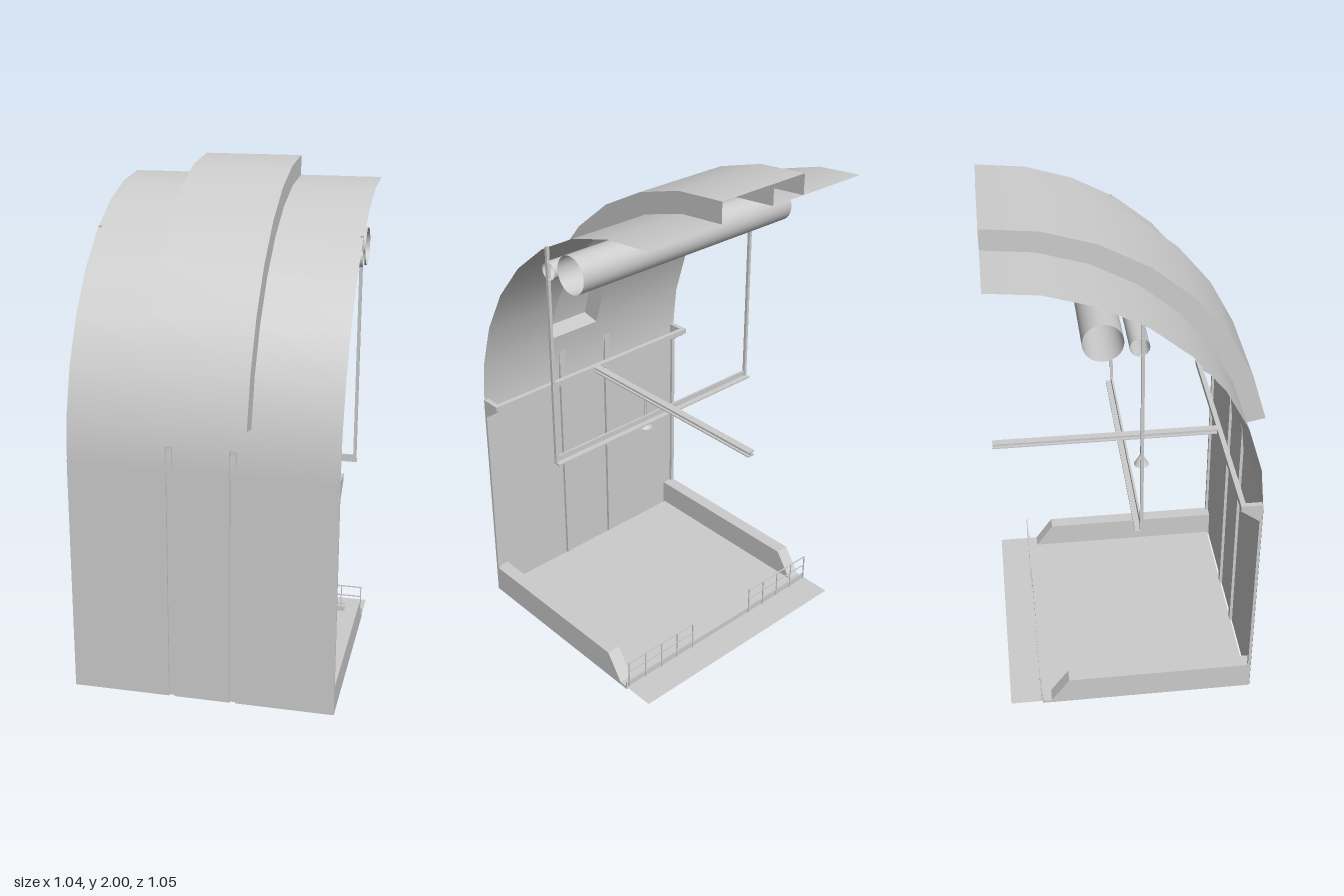
import * as THREE from 'three';

const HALF = 0.52;            // half width of the section
const CY = 0.93, CZ = -0.52;  // axis of the vaulted shell
const R_IN = 0.99, R_OUT = 1.07;
const STEP = Math.PI / 16;    // one facet of the vault

export function createModel() {
  const model = new THREE.Group();
  model.name = 'tunnelSection';
  const grey = new THREE.MeshStandardMaterial({ color: 0xcccccc, side: THREE.DoubleSide });
  grey.name = 'lightGrey';

  const add = (name, geometry) => {
    const mesh = new THREE.Mesh(geometry, grey);
    mesh.name = name;
    model.add(mesh);
    return mesh;
  };
  // Box given by its limits on each axis
  const box = (name, x0, x1, y0, y1, z0, z1) =>
    add(name, new THREE.BoxGeometry(x1 - x0, y1 - y0, z1 - z0))
      .position.set((x0 + x1) / 2, (y0 + y1) / 2, (z0 + z1) / 2);
  // Curved sheet of the vault between two x limits
  const sheet = (name, x0, x1, r, first, count) => {
    const g = new THREE.CylinderGeometry(r, r, x1 - x0, count, 1, true, first * STEP, count * STEP);
    g.rotateZ(Math.PI / 2);
    add(name, g).position.set((x0 + x1) / 2, CY, CZ);
  };
  // Curved side wall of the raised band
  const web = (name, x) => {
    const g = new THREE.RingGeometry(R_IN, R_OUT, 7, 1, STEP, 7 * STEP);
    g.rotateY(-Math.PI / 2);
    add(name, g).position.set(x, CY, CZ);
  };
  // Profile in (z, y) extruded along x
  const profile = (name, points, x0, x1) => {
    const shape = new THREE.Shape(points.map(([z, y]) => new THREE.Vector2(-z, y)));
    const g = new THREE.ExtrudeGeometry(shape, { depth: x1 - x0, bevelEnabled: false });
    g.rotateY(Math.PI / 2);
    add(name, g).position.x = x0;
  };
  // Open pipe across the width
  const pipe = (name, r, y, z, segments) => {
    const g = new THREE.CylinderGeometry(r, r, HALF * 2, segments, 2, true);
    g.rotateZ(Math.PI / 2);
    add(name, g).position.set(0, y, z);
  };

  // Front wall, left open at the two rail slots
  for (const [x0, x1] of [[-HALF, -0.135], [-0.11, 0.11], [0.135, HALF]]) {
    add('frontWall', new THREE.PlaneGeometry(x1 - x0, CY)).position.set((x0 + x1) / 2, CY / 2, 0.47);
  }

  // Vaulted shell with an open duct channel
  const bandL = -0.215, ductL = -0.06, bandR = 0.187;
  sheet('shellBase', -HALF, HALF, R_IN, 0, 1);
  sheet('shellRight', -HALF, ductL, R_IN, 1, 7);
  sheet('shellLeft', bandR, HALF, R_IN, 1, 7);

  // Raised band over the vault
  sheet('raisedBand', bandL, bandR, R_OUT, 1, 7);
  [bandL, ductL, bandR].forEach((x) => web('bandSide', x));
  const cap = add('ductEndCap', new THREE.PlaneGeometry(bandR - ductL, R_OUT - R_IN));
  const rMid = (R_IN + R_OUT) / 2;
  cap.position.set((ductL + bandR) / 2, CY + rMid * Math.sin(STEP), CZ + rMid * Math.cos(STEP));
  cap.rotation.x = Math.PI / 2 - STEP;

  // Recessed guide rails and edge posts, mirrored
  for (const s of [-1, 1]) {
    const c = s * 0.1225;
    box('railBack', c - 0.0125, c + 0.0125, 0, 1.04, 0.458, 0.461);
    for (const e of [-1, 1]) {
      const x = c + e * 0.0125;
      box('railFlange', x - 0.0015, x + 0.0015, 0, 1.04, 0.458, 0.47);
    }
    const p = s * (HALF - 0.008);
    box('edgePost', p - 0.008, p + 0.008, 0.1, CY, 0.458, 0.469);
  }

  // Floor, rear ledge and side curbs
  box('floor', -HALF, HALF, 0, 0.012, -0.39, 0.461);
  box('floorLip', -HALF, HALF, 0.01, 0.035, -0.392, -0.386);
  const ledge = add('rearLedge', new THREE.PlaneGeometry(HALF * 2, 0.13));
  ledge.rotation.x = -Math.PI / 2;
  ledge.position.set(0, 0.012, -0.455);
  const curb = [[0.469, 0], [0.469, 0.117], [-0.28, 0.117], [-0.355, 0.01], [-0.355, 0]];
  profile('curbLeft', curb, HALF - 0.055, HALF);
  profile('curbRight', curb, -HALF, -HALF + 0.055);

  // Two guard rails at the rear edge
  for (const s of [-1, 1]) {
    const a = s * 0.165, b = s * 0.51;
    const x0 = Math.min(a, b), x1 = Math.max(a, b);
    for (const y of [0.045, 0.088, 0.132]) box('guardBar', x0, x1, y - 0.002, y + 0.002, -0.397, -0.393);
    for (let i = 0; i <= 4; i++) {
      const x = x0 + ((x1 - x0) * i) / 4;
      box('guardPost', x - 0.002, x + 0.002, 0.012, 0.134, -0.397, -0.393);
    }
  }

  // Wall beam on triangular brackets
  box('wallBeam', -HALF, HALF, 0.935, 0.957, 0.385, 0.405);
  const bracket = [[0.469, 0.957], [0.385, 0.957], [0.385, 0.935], [0.469, 0.873]];
  profile('bracketLeft', bracket, HALF - 0.02, HALF);
  profile('bracketRight', bracket, -HALF, -HALF + 0.02);

  // Longitudinal hoist beam with I section
  box('hoistBeamTop', -0.015, 0.015, 0.952, 0.957, -0.525, 0.39);
  box('hoistBeamWeb', -0.005, 0.005, 0.94, 0.952, -0.525, 0.39);
  box('hoistBeamBottom', -0.015, 0.015, 0.935, 0.94, -0.525, 0.39);

  // Hanging cross beam and its rods
  box('crossBeamFlange', -HALF, HALF, 0.871, 0.878, -0.014, 0.016);
  box('crossBeamWeb', -HALF, HALF, 0.871, 0.9, 0.008, 0.016);
  for (const s of [-1, 1]) {
    const x = s * 0.513;
    box('hangerRod', x - 0.006, x + 0.006, 0.871, 1.768, 0.004, 0.016);
  }

  // Pendant lamp
  add('lampStem', new THREE.CylinderGeometry(0.005, 0.005, 0.1, 8)).position.set(0, 0.888, 0.077);
  add('lampShade', new THREE.CylinderGeometry(0.008, 0.031, 0.042, 16, 1, true)).position.set(0, 0.82, 0.077);

  // Ventilation pipes
  pipe('largePipe', 0.072, 1.705, -0.127, 32);
  pipe('smallPipe', 0.035, 1.68, -0.002, 20);

  return model;
}
